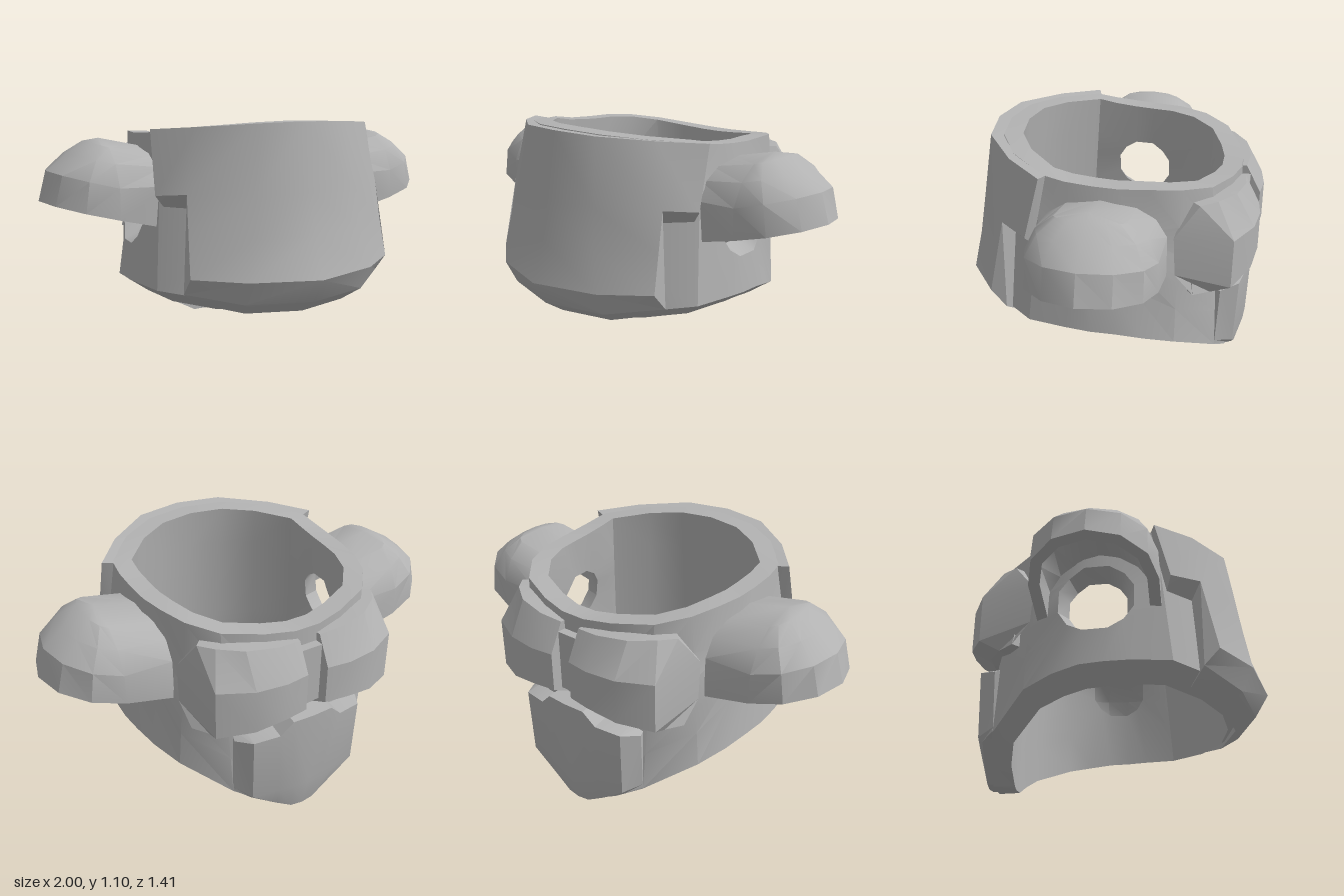
import * as THREE from 'three';
import { toCreasedNormals } from 'three/addons/utils/BufferGeometryUtils.js';

const armour = new THREE.MeshStandardMaterial({ color: 0xb2b2b2 });
armour.name = 'grey armour';

// Adds a polygon fan and its mirror image across x = 0
function face(out, ...p) {
  for (let i = 1; i < p.length - 1; i++) {
    const [a, b, c] = [p[0], p[i], p[i + 1]].map((q) => new THREE.Vector3(...q));
    if (b.clone().sub(a).cross(c.clone().sub(a)).length() < 1e-7) continue;
    out.push(a.x, a.y, a.z, b.x, b.y, b.z, c.x, c.y, c.z);
    out.push(-a.x, a.y, a.z, -c.x, c.y, c.z, -b.x, b.y, b.z);
  }
}

// Skins neighbouring cross-sections, ordered from front to back round the +x side;
// each runs down the outside and up the inside
function loft(out, cols, { closed = true, start = false, end = false, skip = () => false } = {}) {
  const n = cols[0].length;
  for (let i = 0; i < cols.length - 1; i++) {
    for (let k = 0; k < (closed ? n : n - 1); k++) {
      const m = (k + 1) % n;
      if (!skip(i, k)) face(out, cols[i][k], cols[i][m], cols[i + 1][m], cols[i + 1][k]);
    }
  }
  if (start) face(out, ...[...cols[0]].reverse());
  if (end) face(out, ...cols[cols.length - 1]);
}

function part(name, out, crease = 0.5) {
  const g = new THREE.BufferGeometry();
  g.setAttribute('position', new THREE.Float32BufferAttribute(out, 3));
  const mesh = new THREE.Mesh(toCreasedNormals(g, crease), armour);
  mesh.name = name;
  return mesh;
}

const mix = (a, b, t) => a.map((v, i) => v + (b[i] - v) * t);

// Moves a point towards the vertical axis and down
function inset([x, y, z], wall, drop) {
  const s = 1 - wall / Math.hypot(x, z);
  return [x * s, y - drop, z * s];
}

// Hollow torso with a round arm hole on each side
function torsoShell() {
  // outer top and outer bottom of each rib, from front to back
  const ribs = [
    [0, 1.098, 0.5, 0, 0.34, 0.605],
    [0.2, 1.093, 0.47, 0.22, 0.34, 0.57],
    [0.37, 1.08, 0.37, 0.42, 0.35, 0.455],
    [0.52, 1.062, 0.2, 0.58, 0.365, 0.27],
    [0.53, 1.045, 0.1, 0.605, 0.365, 0.1],
    [0.53, 1.035, -0.02, 0.61, 0.36, -0.02],
    [0.525, 1.03, -0.13, 0.6, 0.355, -0.13],
    [0.505, 1.03, -0.25, 0.57, 0.33, -0.25],
    [0.46, 1.02, -0.38, 0.51, 0.29, -0.38],
    [0.36, 1, -0.5, 0.33, 0.17, -0.55],
    [0.19, 0.98, -0.57, 0.2, 0.085, -0.59],
    [0.06, 0.97, -0.6, 0.06, 0.005, -0.6],
    [0, 0.97, -0.6, 0, 0.005, -0.605],
  ];
  const rows = [0, 0.23, 0.41, 0.59, 0.77, 1];
  const cols = ribs.map((rib) => {
    const top = rib.slice(0, 3), bottom = rib.slice(3);
    const innerTop = inset(top, 0.088, 0);
    const innerBottom = inset(bottom, 0.1, Math.min(0.07, bottom[1] * 0.2));
    return [
      ...rows.map((v) => mix(top, bottom, v)),
      ...rows.map((v) => mix(innerTop, innerBottom, v)).reverse(),
    ];
  });

  // Pull the edge of the omitted cells onto a circle
  const rim = [];
  for (let s = 0; s < 3; s++) rim.push([4, 1 + s]);
  for (let s = 0; s < 3; s++) rim.push([4 + s, 4]);
  for (let s = 0; s < 3; s++) rim.push([7, 4 - s]);
  for (let s = 0; s < 3; s++) rim.push([7 - s, 1]);
  for (const [i, j] of rim) {
    const d = Math.hypot(i - 5.5, 2.5 - j);
    for (const [k, r] of [[j, 0.18], [11 - j, 0.14]]) {
      cols[i][k] = [cols[i][k][0], 0.7 + (r * (2.5 - j)) / d, -0.065 - (r * (i - 5.5)) / d];
    }
  }

  const out = [];
  loft(out, cols, { skip: (i, k) => i >= 4 && i <= 6 && ((k >= 1 && k <= 3) || (k >= 7 && k <= 9)) });
  rim.forEach(([i, j], p) => {
    const [a, b] = rim[(p + 1) % rim.length];
    face(out, cols[i][j], cols[a][b], cols[a][11 - b], cols[i][11 - j]);
  });
  return part('torsoShell', out);
}

// Breastplate: wide upper band, narrower lower band with a bevelled hem
function chestPlate() {
  const out = [];
  const upper = [
    [[0, 1.1, 0.56], [0, 0.8, 0.607]],
    [[0.22, 1.095, 0.525], [0.25, 0.8, 0.565]],
    [[0.43, 1.08, 0.37], [0.49, 0.8, 0.4]],
    [[0.57, 1.065, 0.2], [0.58, 0.785, 0.27]],
  ].map(([top, mid]) => [top, mid, inset(mid, 0.08, 0.085), inset(top, 0.1, 0.01)]);
  loft(out, upper, { end: true });

  // below the upper band: waist, hem and bevel
  const lower = [
    [[0, 0.62, 0.64], [0, 0.44, 0.705], [0, 0.33, 0.64]],
    [[0.27, 0.62, 0.59], [0.31, 0.445, 0.62], [0.3, 0.335, 0.565]],
    [[0.5, 0.62, 0.43], [0.51, 0.45, 0.47], [0.51, 0.37, 0.4]],
  ].map(([waist, hem, bevel], i) => {
    const mid = upper[i][1];
    return [mid, waist, hem, bevel, inset(bevel, 0.1, 0.066), inset(mid, 0.12, 0)];
  });
  loft(out, lower, { end: true });
  return part('chestPlate', out);
}

// Faceted plates over the shoulder blades
function shoulderBladePlates() {
  const out = [];
  const cols = [
    [[0.45, 0.95, -0.46], [0.495, 0.81, -0.36], [0.495, 0.63, -0.37], [0.48, 0.53, -0.45]],
    [[0.4, 0.955, -0.53], [0.45, 0.8, -0.61], [0.45, 0.57, -0.61], [0.43, 0.525, -0.52]],
    [[0.3, 0.95, -0.6], [0.3, 0.8, -0.685], [0.3, 0.595, -0.685], [0.3, 0.55, -0.59]],
    [[0.16, 0.94, -0.63], [0.16, 0.8, -0.703], [0.16, 0.62, -0.705], [0.16, 0.56, -0.6]],
    [[0.05, 0.93, -0.62], [0.05, 0.8, -0.69], [0.05, 0.62, -0.69], [0.05, 0.57, -0.6]],
  ].map((c) => [...c, inset(c[3], 0.08, 0), inset(c[0], 0.08, 0)]);
  loft(out, cols, { start: true, end: true });
  return part('shoulderBladePlates', out, 0.35);
}

// Pointed lower back plate with a stepped top edge
function lowerBackPlate() {
  // top x, y, z, then bottom x, y, z
  const cols = [
    [0.33, 0.47, -0.56, 0.33, 0.175, -0.55],
    [0.28, 0.49, -0.64, 0.27, 0.15, -0.61],
    [0.16, 0.5, -0.665, 0.14, 0.065, -0.625],
    [0.1, 0.56, -0.675, 0.06, 0.015, -0.63],
    [0, 0.56, -0.68, 0, 0.01, -0.635],
  ].map(([x, y, z, u, v, w]) => {
    const m = Math.max(0.17, v + 0.02);
    return [[x, y, z], [(x + u) / 2, m, z + 0.01], [u, v, w], [u * 0.95, v, -0.52], [x * 0.95, y + 0.02, -0.5]];
  });
  const out = [];
  loft(out, cols, { start: true });
  return part('lowerBackPlate', out, 0.35);
}

// Hollow domes above the arm holes, open below with a slanted rim
function shoulderGuards() {
  // half width, end radius, height at the sides, height at the end
  const levels = [
    [0, 0, 1.017, 1.017],
    [0.15, 0.06, 0.985, 1.003],
    [0.23, 0.15, 0.92, 0.952],
    [0.278, 0.24, 0.82, 0.88],
  ];
  const wall = 0.05, radius = 0.28, steps = 6;
  const lining = levels.map(([w, r, a, b]) => [
    Math.max(0, w - wall), Math.max(0, r - wall), a - wall, b - wall,
  ]).reverse();
  const cols = [];
  for (let i = -1; i <= steps + 1; i++) {
    // sleeve sinking towards the torso at both ends, half circle between
    const t = Math.PI * THREE.MathUtils.clamp(i / steps, 0, 1);
    const sleeve = i < 0 || i > steps;
    const u = sleeve ? 0 : Math.sin(t);
    const reach = (r) => (sleeve ? 0.5 : 0.72 + r * u);
    const sink = (y) => (sleeve ? 0.22 * (y - 0.8) : 0);
    const dome = ([w, r, a, b]) => [reach(r), a + (b - a) * u - sink(a), -0.055 + w * Math.cos(t)];
    const rim = (r) => [reach(r), 0.635 + 0.243 * (reach(r) - 0.53), -0.055 + r * Math.cos(t)];
    cols.push([...levels.map(dome), rim(radius), rim(radius - wall), ...lining.map(dome)]);
  }
  const out = [];
  loft(out, cols, { closed: false });
  return part('shoulderGuards', out, 0.5);
}

export function createModel() {
  const model = new THREE.Group();
  model.name = 'torsoArmour';
  model.add(torsoShell(), chestPlate(), shoulderBladePlates(), lowerBackPlate(), shoulderGuards());

  // Strip joining the shoulder blade plates
  const spine = new THREE.Mesh(new THREE.BoxGeometry(0.11, 0.28, 0.08), armour);
  spine.name = 'spineStrip';
  spine.position.set(0, 0.75, -0.6);
  model.add(spine);
  return model;
}
